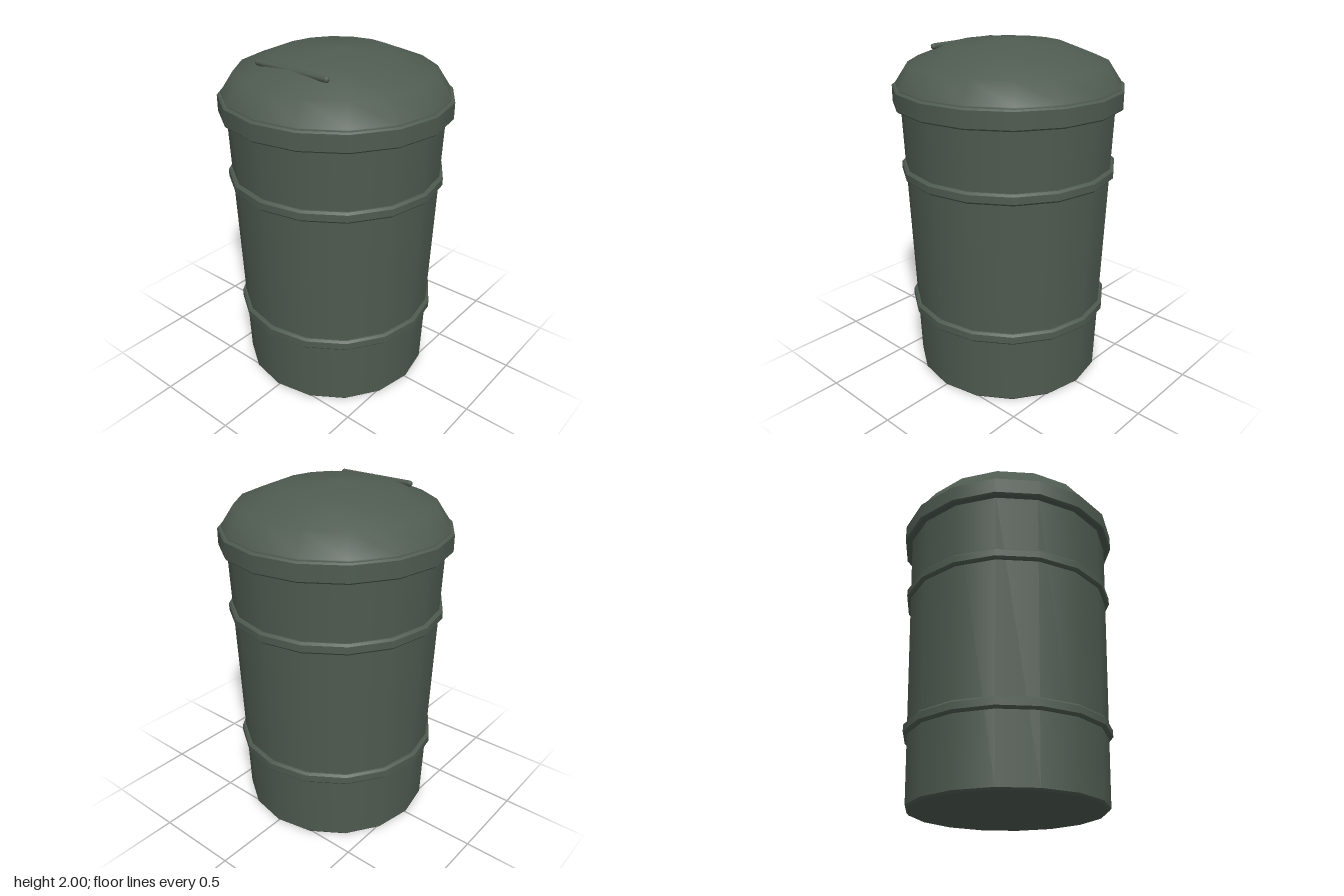
import * as THREE from 'three';
import { mergeGeometries } from 'three/addons/utils/BufferGeometryUtils.js';

const SIDES = 16;

// Each run of [radius, height] points is shaded smoothly; edges between runs stay sharp.
function turned(runs) {
  return mergeGeometries(runs.map((run) =>
    new THREE.LatheGeometry(run.map(([r, y]) => new THREE.Vector2(r, y)), SIDES)));
}

// Closed hoop with small bevelled edges, slanting with the body wall
function hoop(inner, outer, y0, y1, bevel) {
  const a = [inner, y0], b = [outer - bevel, y0], c = [outer, y0 + bevel];
  const d = [outer, y1 - bevel], e = [outer - bevel, y1], f = [inner, y1];
  return turned([[a, b], [b, c], [c, d], [d, e], [e, f]]);
}

export function createModel() {
  const group = new THREE.Group();
  const green = new THREE.MeshStandardMaterial({ color: 0x4f5b50 });
  green.name = 'dark grey green';

  const add = (name, geometry) => {
    const mesh = new THREE.Mesh(geometry, green);
    mesh.name = name;
    group.add(mesh);
    return mesh;
  };

  // Tapered container with a flat base
  add('body', turned([
    [[0, 0], [0.55, 0]],
    [[0.55, 0], [0.561, 0.012]],
    [[0.561, 0.012], [0.616, 1.66]],
  ]));

  // Reinforcing bands
  add('lowerBand', hoop(0.56, 0.597, 0.397, 0.461, 0.012));
  add('upperBand', hoop(0.59, 0.625, 1.24, 1.304, 0.012));

  // Lid: rim and shallow dome
  add('lidRim', hoop(0.6, 0.658, 1.64, 1.75, 0.009));
  add('lidDome', turned([
    [[0.638, 1.748], [0.638, 1.758], [0.562, 1.872], [0.32, 1.968], [0, 2]],
  ]));

  // Slim bar handle, its middle sunk into the dome
  const handle = add('lidHandle', new THREE.CapsuleGeometry(0.017, 0.468, 4, 10));
  handle.rotation.z = Math.PI / 2;
  handle.position.set(0, 1.939, 0.36);

  return group;
}
